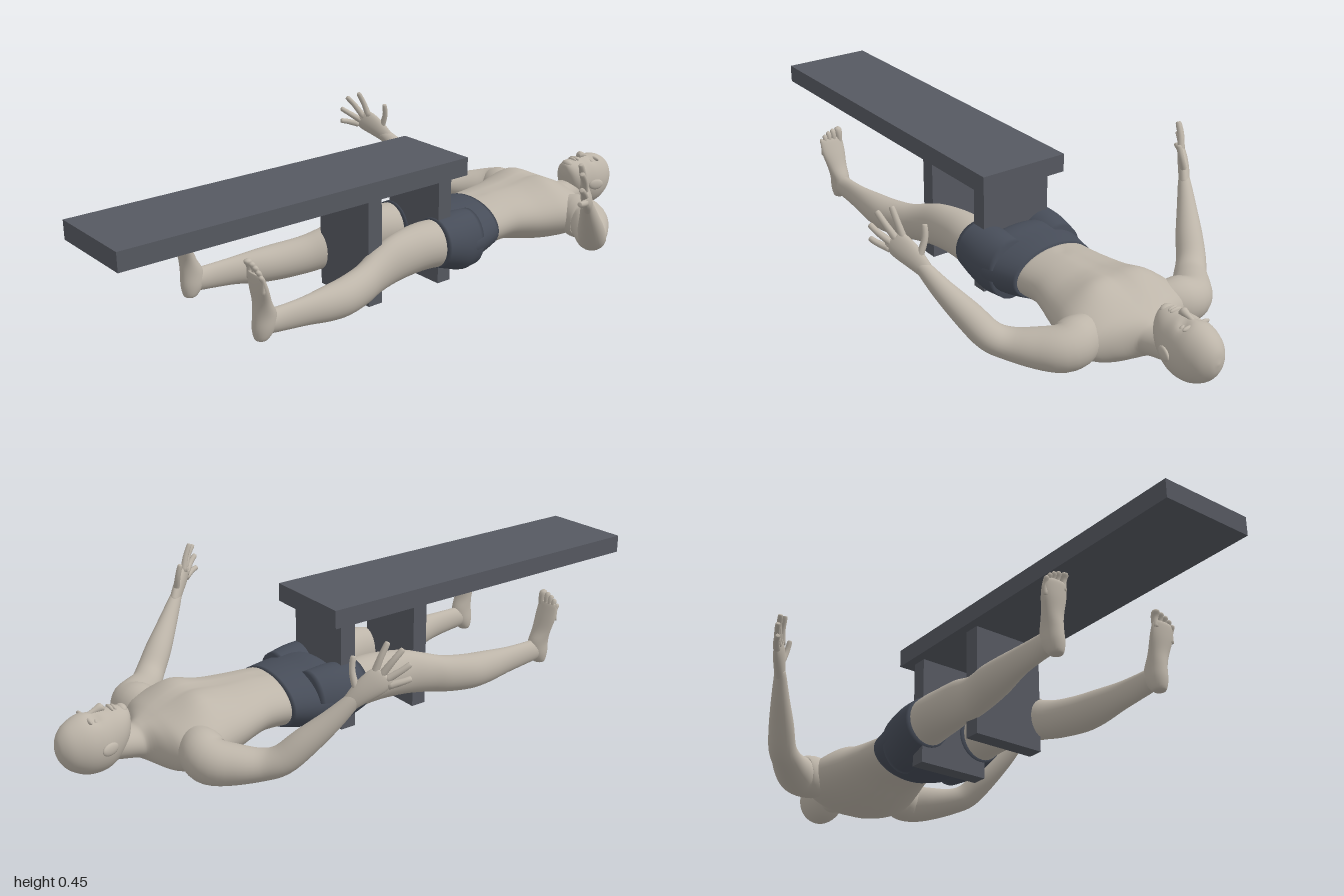
import * as THREE from 'three';

const skin = new THREE.MeshStandardMaterial({ name: 'skin', color: 0xbdb5a9 });
const cloth = new THREE.MeshStandardMaterial({ name: 'shorts cloth', color: 0x474d59 });
const slate = new THREE.MeshStandardMaterial({ name: 'bench slate', color: 0x565961 });

const V = (a) => new THREE.Vector3(a[0], a[1], a[2]);

// Smooth closed skin over elliptical sections [x, y, z, rx, ry].
// ref sets the ry direction; axis fixes the section plane, otherwise it follows the path.
function loft(secs, { ref = [0, 1, 0], axis = null, sides = 20, steps = 4, warp = null } = {}) {
  const path = new THREE.CatmullRomCurve3(secs.map(V), false, 'catmullrom', 0.5);
  const radii = new THREE.CatmullRomCurve3(secs.map((s) => new THREE.Vector3(s[3], s[4], 0)), false, 'catmullrom', 0.5);
  const rings = (secs.length - 1) * steps;
  const pos = [], idx = [];
  for (let i = 0; i <= rings; i++) {
    const c = path.getPoint(i / rings), r = radii.getPoint(i / rings);
    const t = axis ? V(axis) : path.getTangent(i / rings);
    const u = V(ref).cross(t).normalize(), v = t.clone().cross(u).normalize();
    for (let j = 0; j < sides; j++) {
      const a = (j / sides) * Math.PI * 2;
      const p = c.clone().addScaledVector(u, Math.cos(a) * r.x).addScaledVector(v, Math.sin(a) * r.y);
      if (warp) warp(p, Math.sin(a));
      pos.push(p.x, p.y, p.z);
    }
  }
  for (let i = 0; i < rings; i++) for (let j = 0; j < sides; j++) {
    const k = (j + 1) % sides, a = i * sides + j, b = i * sides + k;
    idx.push(a, b, b + sides, a, b + sides, a + sides);
  }
  // End caps
  const first = pos.length / 3, last = rings * sides;
  pos.push(...secs[0].slice(0, 3), ...secs[secs.length - 1].slice(0, 3));
  for (let j = 0; j < sides; j++) {
    const k = (j + 1) % sides;
    idx.push(first, k, j, first + 1, last + j, last + k);
  }
  const g = new THREE.BufferGeometry();
  g.setAttribute('position', new THREE.Float32BufferAttribute(pos, 3));
  g.setIndex(idx);
  g.computeVertexNormals();
  return g;
}

// Sections along z given as [z, centreX, halfWidth, bottomY, topY]
const along = (rows, opts = {}) => loft(
  rows.map(([z, x, w, b, t]) => [x, (b + t) / 2, z, w, (t - b) / 2]), { axis: [0, 0, 1], ...opts });

const bell = (d, w) => Math.exp(-(d * d) / (w * w));

export function createModel() {
  const model = new THREE.Group();
  const add = (name, geo, mat, parent = model) => {
    const m = new THREE.Mesh(geo, mat);
    m.name = name;
    parent.add(m);
    return m;
  };
  const blob = (name, x, y, z, sx, sy, sz, parent) => {
    const m = add(name, new THREE.SphereGeometry(1, 16, 12), skin, parent);
    m.position.set(x, y, z);
    m.scale.set(sx, sy, sz);
    return m;
  };
  const box = (name, w, y0, y1, z0, z1) => {
    add(name, new THREE.BoxGeometry(w, y1 - y0, z1 - z0), slate).position.set(0, (y0 + y1) / 2, (z0 + z1) / 2);
  };

  // Bench
  box('benchTop', 0.294, 0.345, 0.402, -0.185, 1);
  box('benchFrontLeg', 0.236, 0, 0.345, 0.13, 0.18);
  box('benchBackLeg', 0.236, 0, 0.345, -0.145, -0.095);

  // Torso with chest relief, groove and navel
  add('torso', along([
    [-0.85, 0, 0.045, 0.075, 0.165], [-0.78, 0, 0.054, 0.062, 0.155], [-0.755, 0, 0.066, 0.05, 0.162],
    [-0.73, 0, 0.125, 0.035, 0.173], [-0.7, 0, 0.185, 0.02, 0.187], [-0.65, 0, 0.205, 0.012, 0.206],
    [-0.6, 0, 0.195, 0.01, 0.218], [-0.55, 0, 0.178, 0.015, 0.217], [-0.5, 0, 0.162, 0.025, 0.211],
    [-0.45, 0, 0.147, 0.038, 0.208], [-0.4, 0, 0.136, 0.045, 0.206], [-0.32, 0, 0.137, 0.04, 0.2],
  ], {
    sides: 48,
    warp: (p, s) => {
      const x = Math.abs(p.x);
      if (s > 0) p.y += s * (0.016 * bell(x - 0.085, 0.06) * bell(p.z + 0.61, 0.055)
        - 0.006 * bell(x, 0.014) * bell(p.z + 0.55, 0.14) - 0.006 * bell(x, 0.012) * bell(p.z + 0.37, 0.012));
      else p.y -= s * 0.012 * bell(x, 0.025) * bell(p.z + 0.5, 0.15);
    },
  }), skin);

  // Head
  const head = new THREE.Group();
  head.name = 'head';
  model.add(head);
  add('skull', along([
    [-1, 0, 0.004, 0.142, 0.15], [-0.993, 0, 0.026, 0.112, 0.182], [-0.97, 0, 0.05, 0.08, 0.21],
    [-0.93, 0, 0.066, 0.057, 0.229], [-0.89, 0, 0.069, 0.052, 0.231], [-0.855, 0, 0.064, 0.06, 0.229],
    [-0.825, 0, 0.057, 0.085, 0.228], [-0.8, 0, 0.042, 0.12, 0.224], [-0.787, 0, 0.022, 0.165, 0.215],
    [-0.784, 0, 0.004, 0.185, 0.195],
  ], {
    sides: 40,
    warp: (p, s) => {
      if (s > 0) p.y -= 0.011 * s * bell(Math.abs(p.x) - 0.027, 0.014) * bell(p.z + 0.893, 0.014);
    },
  }), skin, head);
  add('nose', loft([[0, 0.224, -0.905, 0.006, 0.005], [0, 0.23, -0.885, 0.008, 0.008],
    [0, 0.236, -0.865, 0.012, 0.012], [0, 0.232, -0.855, 0.01, 0.008]], { axis: [0, 0, 1], sides: 14 }), skin, head);
  blob('upperLip', 0, 0.227, -0.836, 0.021, 0.008, 0.006, head);
  blob('lowerLip', 0, 0.226, -0.826, 0.018, 0.008, 0.006, head);
  blob('chin', 0, 0.215, -0.802, 0.022, 0.014, 0.014, head);

  // Hips of the shorts
  add('shortsHips', along([
    [-0.335, 0, 0.141, 0.036, 0.204], [-0.29, 0, 0.154, 0.024, 0.207], [-0.24, 0, 0.167, 0.016, 0.209],
    [-0.19, 0, 0.175, 0.018, 0.211], [-0.15, 0, 0.16, 0.035, 0.2], [-0.12, 0, 0.1, 0.07, 0.17],
  ], { sides: 40 }), cloth);

  for (const s of [1, -1]) {
    const side = s > 0 ? 'left' : 'right';
    const flip = (rows) => rows.map(([x, ...rest]) => [x * s, ...rest]);
    const flipAlong = (rows) => rows.map(([z, x, ...rest]) => [z, x * s, ...rest]);

    // Face halves
    blob(side + 'Ear', s * 0.072, 0.142, -0.875, 0.008, 0.018, 0.028, head).rotation.y = s * -0.3;
    blob(side + 'Eye', s * 0.027, 0.208, -0.892, 0.012, 0.01, 0.007, head);
    blob(side + 'Brow', s * 0.027, 0.218, -0.911, 0.02, 0.008, 0.006, head);

    // Shorts leg, bare leg
    add(side + 'ShortsLeg', along(flipAlong([
      [-0.25, 0.088, 0.075, 0.018, 0.205], [-0.19, 0.095, 0.082, 0.018, 0.212],
      [-0.14, 0.1, 0.081, 0.035, 0.213], [-0.085, 0.101, 0.077, 0.055, 0.212],
    ]), { sides: 28 }), cloth);
    add(side + 'Leg', along(flipAlong([
      [-0.12, 0.101, 0.07, 0.05, 0.206], [-0.05, 0.102, 0.069, 0.06, 0.21], [0.02, 0.106, 0.061, 0.06, 0.208],
      [0.1, 0.117, 0.051, 0.055, 0.198], [0.17, 0.13, 0.049, 0.046, 0.175], [0.23, 0.149, 0.049, 0.037, 0.157],
      [0.31, 0.169, 0.05, 0.033, 0.148], [0.38, 0.178, 0.043, 0.038, 0.144], [0.46, 0.185, 0.03, 0.052, 0.139],
      [0.53, 0.187, 0.025, 0.06, 0.137], [0.59, 0.187, 0.026, 0.068, 0.135], [0.61, 0.187, 0.018, 0.08, 0.125],
    ]), { sides: 28 }), skin);

    // Upright foot with toes
    const foot = new THREE.Group();
    foot.name = side + 'Foot';
    model.add(foot);
    add('sole', loft(flip([
      [0.186, 0.052, 0.612, 0.008, 0.008], [0.186, 0.06, 0.61, 0.021, 0.021], [0.187, 0.09, 0.602, 0.029, 0.035],
      [0.189, 0.13, 0.6, 0.03, 0.035], [0.193, 0.17, 0.609, 0.034, 0.024], [0.197, 0.215, 0.62, 0.041, 0.018],
      [0.198, 0.25, 0.628, 0.04, 0.012], [0.197, 0.262, 0.63, 0.033, 0.008],
    ]), { axis: [0, 1, 0], ref: [0, 0, 1], sides: 24 }), skin, foot);
    [[0.169, 0.294, 0.012], [0.189, 0.291, 0.009], [0.205, 0.285, 0.0085], [0.219, 0.276, 0.008], [0.231, 0.264, 0.0075]]
      .forEach(([x, y, r], i) => add('toe' + (i + 1), loft(flip([
        [x, y - 0.055, 0.628, r * 0.8, r * 0.8], [x, y - 0.025, 0.627, r * 0.9, r * 0.8],
        [x, y - 0.007, 0.633, r, r], [x, y, 0.634, r * 0.4, r * 0.4],
      ]), { axis: [0, 1, 0], ref: [0, 0, 1], sides: 10 }), skin, foot));

    // Arm bent up at the elbow
    add(side + 'Arm', loft(flip([
      [0.13, 0.115, -0.645, 0.05, 0.06], [0.18, 0.11, -0.658, 0.066, 0.072], [0.23, 0.104, -0.658, 0.064, 0.066],
      [0.28, 0.102, -0.614, 0.058, 0.056], [0.33, 0.106, -0.56, 0.048, 0.044], [0.368, 0.125, -0.522, 0.044, 0.042],
      [0.402, 0.175, -0.473, 0.04, 0.04], [0.442, 0.237, -0.415, 0.029, 0.031], [0.47, 0.288, -0.372, 0.02, 0.023],
      [0.48, 0.303, -0.358, 0.016, 0.02],
    ]), { sides: 28 }), skin);

    // Hand with spread fingers
    const hand = new THREE.Group();
    hand.name = side + 'Hand';
    model.add(hand);
    add('palm', loft(flip([
      [0.466, 0.282, -0.377, 0.016, 0.021], [0.488, 0.318, -0.347, 0.017, 0.031], [0.508, 0.346, -0.318, 0.015, 0.036],
      [0.52, 0.362, -0.3, 0.01, 0.031], [0.523, 0.367, -0.296, 0.004, 0.02],
    ]), { ref: [-0.035 * s, 0.04, -0.03], sides: 20 }), skin, hand);
    const fingers = [
      ['thumb', [0.48, 0.318, -0.358], [0.461, 0.37, -0.36], [0.455, 0.411, -0.352]],
      ['indexFinger', [0.5, 0.368, -0.317], [0.508, 0.412, -0.303], [0.513, 0.452, -0.283]],
      ['middleFinger', [0.513, 0.362, -0.306], [0.532, 0.404, -0.282], [0.543, 0.436, -0.256]],
      ['ringFinger', [0.522, 0.351, -0.298], [0.545, 0.376, -0.266], [0.557, 0.395, -0.241]],
      ['littleFinger', [0.528, 0.336, -0.294], [0.548, 0.346, -0.262], [0.556, 0.352, -0.238]],
    ];
    for (const [name, a, b, c] of fingers) {
      const tip = c.map((v, i) => v + (b[i] - v) * 0.12);
      add(name, loft(flip([[...a, 0.011, 0.011], [...b, 0.009, 0.009], [...tip, 0.008, 0.008], [...c, 0.003, 0.003]]),
        { ref: [s, 0, 0.3], sides: 10 }), skin, hand);
    }
  }
  return model;
}
